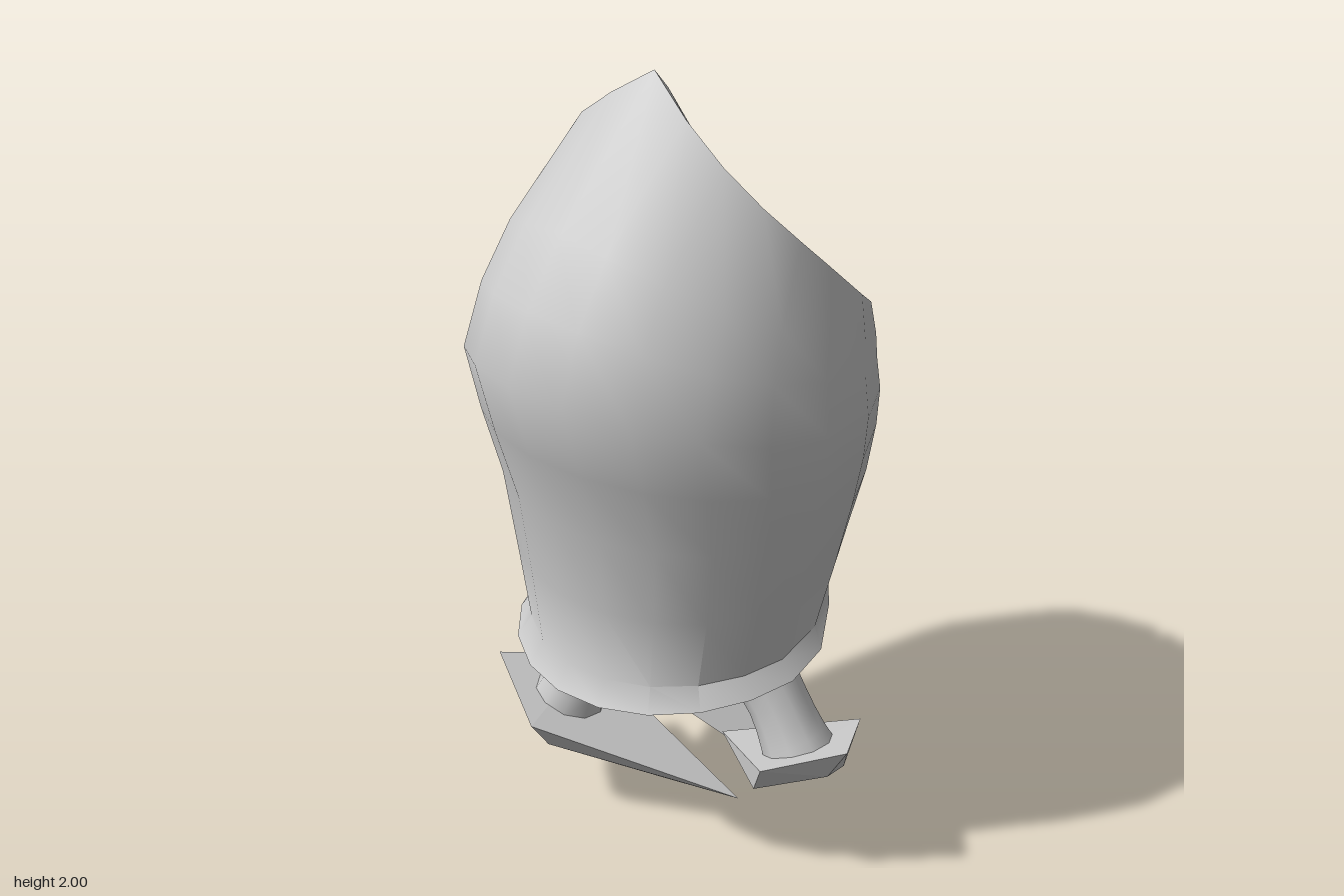
import * as THREE from 'three';
import { toCreasedNormals } from 'three/addons/utils/BufferGeometryUtils.js';
import { ConvexGeometry } from 'three/addons/geometries/ConvexGeometry.js';

const MID_Z = -0.03;
const V = (p) => new THREE.Vector3(...p);
const material = new THREE.MeshStandardMaterial({ color: 0xcccccc });
const flat = new THREE.MeshStandardMaterial({ color: 0xcccccc, flatShading: true });

// Column angles, from the back (0) round to the front seam (180) and back again
const half = [0, 18, 36, 54, 72, 90, 108, 126, 144, 162, 171];
const angles = [...half, 180, ...half.slice(1).reverse().map((a) => 360 - a)];

// One closed loop: back [x, y], side [x, y, half width], front [x, y].
// "point" sharpens the front, "sweep" bends its rise, "notch" sinks the seam
// column, "peak" (0 to 1) draws the back up to a gothic point.
function ring({ b, s, f, point = 1.65, sweep = 0.85, notch = 0, peak = 0 }) {
  return angles.map((deg) => {
    const a = THREE.MathUtils.degToRad(deg);
    const c = Math.cos(a), k = Math.abs(c), sn = Math.sin(a), w = Math.abs(sn);
    if (c > 0) {
      const rise = THREE.MathUtils.lerp(Math.pow(k, 1.4), Math.acos(w) / (Math.PI / 2), peak);
      const x = s[0] + (b[0] - s[0]) * k - 0.09 * peak * k * w;
      return [x, s[1] + (b[1] - s[1]) * rise, MID_Z + s[2] * sn];
    }
    const x = s[0] + (f[0] - s[0]) * k - (deg === 180 ? notch : 0);
    const y = s[1] + (f[1] - s[1]) * Math.pow(k, sweep);
    return [x, y, MID_Z + s[2] * Math.sign(sn) * Math.pow(w, point)];
  });
}

// Skin a list of rings
function loft(rings, crease) {
  const n = angles.length, index = [];
  for (let i = 0; i < rings.length - 1; i++) {
    for (let j = 0; j < n; j++) {
      const a = i * n + j, b = i * n + (j + 1) % n;
      index.push(a, b, a + n, b, b + n, a + n);
    }
  }
  const geometry = new THREE.BufferGeometry();
  geometry.setAttribute('position', new THREE.Float32BufferAttribute(rings.flat(2), 3));
  geometry.setIndex(index);
  return toCreasedNormals(geometry, crease);
}

// Hooded cloak: lining, hem, outside, rim and the dished surface in the hood
function cloakGeometry() {
  return loft([
    { b: [0, 1.15], s: [0, 1.15, 0], f: [0, 1.15] },
    { b: [-0.37, 1.0], s: [-0.03, 1.0, 0.39], f: [0.44, 0.98] },
    { b: [-0.36, 0.57], s: [-0.03, 0.595, 0.335], f: [0.37, 0.76], sweep: 2 },
    { b: [-0.42, 0.54], s: [-0.03, 0.575, 0.395], f: [0.39, 0.725], sweep: 2, notch: 0.03 },
    { b: [-0.385, 0.6], s: [-0.03, 0.62, 0.36], f: [0.425, 0.775], sweep: 2, notch: 0.04 },
    { b: [-0.4, 0.8], s: [-0.03, 0.8, 0.405], f: [0.475, 0.87], sweep: 1.3, notch: 0.05 },
    { b: [-0.42, 1.0], s: [-0.03, 1.0, 0.445], f: [0.52, 0.98], notch: 0.05 },
    { b: [-0.48, 1.2], s: [-0.02, 1.13, 0.465], f: [0.535, 1.1], notch: 0.05 },
    { b: [-0.53, 1.39], s: [-0.01, 1.25, 0.47], f: [0.535, 1.18], notch: 0.05 },
    { b: [-0.47, 1.55], s: [0, 1.38, 0.45], f: [0.53, 1.22], notch: 0.05 },
    { b: [-0.37, 1.7], s: [0.03, 1.48, 0.425], f: [0.53, 1.25], notch: 0.05, peak: 0.2 },
    { b: [-0.09, 2.0], s: [0.07, 1.61, 0.385], f: [0.52, 1.28], notch: 0.05, peak: 1 },
    { b: [-0.05, 1.95], s: [0.09, 1.58, 0.345], f: [0.47, 1.3], peak: 1 },
    { b: [-0.18, 1.79], s: [0.02, 1.54, 0.315], f: [0.24, 1.17], point: 1 },
    { b: [0, 1.46], s: [0, 1.46, 0], f: [0, 1.46] },
  ].map(ring), 0.75);
}

// Leg: a tube, wider at hip and ankle
function legGeometry(hip, ankle) {
  const h = V(hip), e = V(ankle);
  const knee = h.clone().lerp(e, 0.5).add(new THREE.Vector3(0, 0.02, 0));
  const curve = new THREE.CatmullRomCurve3([h, knee, e]);
  const rows = 6, sides = 10;
  const geometry = new THREE.TubeGeometry(curve, rows, 1, sides);
  const pos = geometry.attributes.position, p = new THREE.Vector3();
  for (let i = 0; i < pos.count; i++) {
    const t = Math.floor(i / (sides + 1)) / rows;
    const centre = curve.getPointAt(t);
    p.fromBufferAttribute(pos, i).sub(centre).multiplyScalar(0.075 + 0.07 * (t - 0.5) ** 2).add(centre);
    pos.setXYZ(i, p.x, p.y, p.z);
  }
  geometry.computeVertexNormals();
  return geometry;
}

// Each foot is a keeled blade: heel, two sides, keel points and inward tip
const limbs = [
  {
    name: 'left', hip: [0, 0.57, 0.19], ankle: [0.03, 0.32, 0.34],
    foot: [[0.02, 0.41, 0.5], [0.2, 0.36, 0.38], [-0.13, 0.36, 0.36], [0.19, 0.29, 0.35],
      [0.02, 0.31, 0.44], [0.1, 0.29, 0.42], [-0.09, 0.255, 0.3], [0.06, 0.2, 0.28], [0.06, 0.215, 0.04]],
  },
  {
    name: 'frontRight', hip: [0.12, 0.56, -0.19], ankle: [0.21, 0.3, -0.3],
    foot: [[0.18, 0.43, -0.49], [0.34, 0.38, -0.36], [0.1, 0.35, -0.46], [0.07, 0.21, -0.21],
      [0.34, 0.2, -0.36], [0.34, 0.22, -0.2], [0.3, 0.235, -0.43], [0.29, 0.1, -0.2], [0.25, 0, 0.04]],
  },
  {
    name: 'backRight', hip: [-0.12, 0.56, -0.18], ankle: [-0.17, 0.28, -0.28],
    foot: [[-0.24, 0.35, -0.47], [-0.35, 0.3, -0.22], [-0.02, 0.29, -0.37], [-0.28, 0.2, -0.24],
      [-0.19, 0.155, -0.31], [0.02, 0.2, -0.28], [-0.07, 0.1, -0.02], [0, 0.1, 0.16]],
  },
];

export function createModel() {
  const group = new THREE.Group();
  const add = (name, geometry, mat = material) => {
    const mesh = new THREE.Mesh(geometry, mat);
    mesh.name = name;
    group.add(mesh);
    return mesh;
  };

  add('hoodedCloak', cloakGeometry());
  add('body', new THREE.SphereGeometry(0.28, 20, 14)).position.set(0, 0.63, MID_Z);

  for (const { name, hip, ankle, foot } of limbs) {
    add(name + 'Leg', legGeometry(hip, ankle));
    add(name + 'Foot', new ConvexGeometry(foot.map(V)), flat);
  }
  return group;
}
